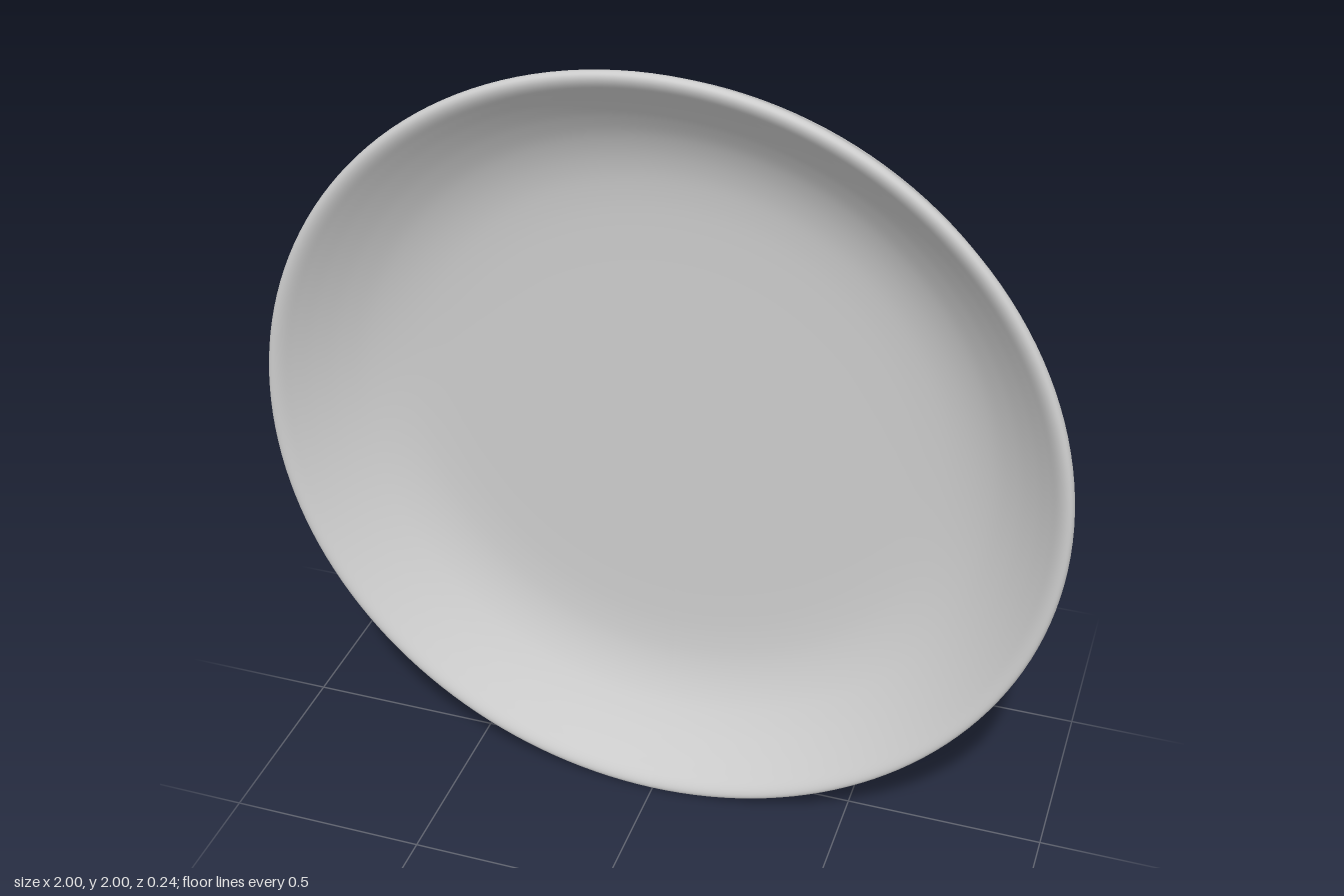
import * as THREE from 'three';

export function createModel() {
  const group = new THREE.Group();
  group.name = 'dish';

  // Half section as [radius, depth]: back centre, out around the rim, front centre
  const section = [
    [0, -0.12], [0.3, -0.119], [0.55, -0.115], [0.7, -0.109], [0.8, -0.099], [0.865, -0.08],
    [0.915, -0.046], [0.953, 0.003], [0.978, 0.055], [0.996, 0.092], [0.999, 0.106], [0.993, 0.116],
    [0.98, 0.117], [0.963, 0.108], [0.938, 0.085], [0.9, 0.05], [0.85, 0.009], [0.79, -0.03],
    [0.72, -0.058], [0.64, -0.073], [0.52, -0.079], [0.25, -0.08], [0, -0.08],
  ].map(([r, z]) => new THREE.Vector2(r, z));
  const points = new THREE.SplineCurve(section).getPoints(132);
  points.forEach((p) => { p.x = Math.max(0, p.x); });

  // Turned plate, tipped up so the bowl faces forward
  const geometry = new THREE.LatheGeometry(points, 160);
  geometry.rotateX(Math.PI / 2);

  // Two small dents low on the back, one on each side
  const pos = geometry.attributes.position;
  for (let i = 0; i < pos.count; i++) {
    if (pos.getZ(i) > -0.085) continue;
    const d = Math.hypot(Math.abs(pos.getX(i)) - 0.55, pos.getY(i) + 0.53);
    pos.setZ(i, pos.getZ(i) + 0.008 * Math.exp(-((d / 0.035) ** 2)));
  }
  geometry.computeVertexNormals();

  const plate = new THREE.Mesh(geometry, new THREE.MeshStandardMaterial({ color: 0xcccccc }));
  plate.name = 'plate';
  plate.position.y = 1;
  group.add(plate);

  return group;
}
